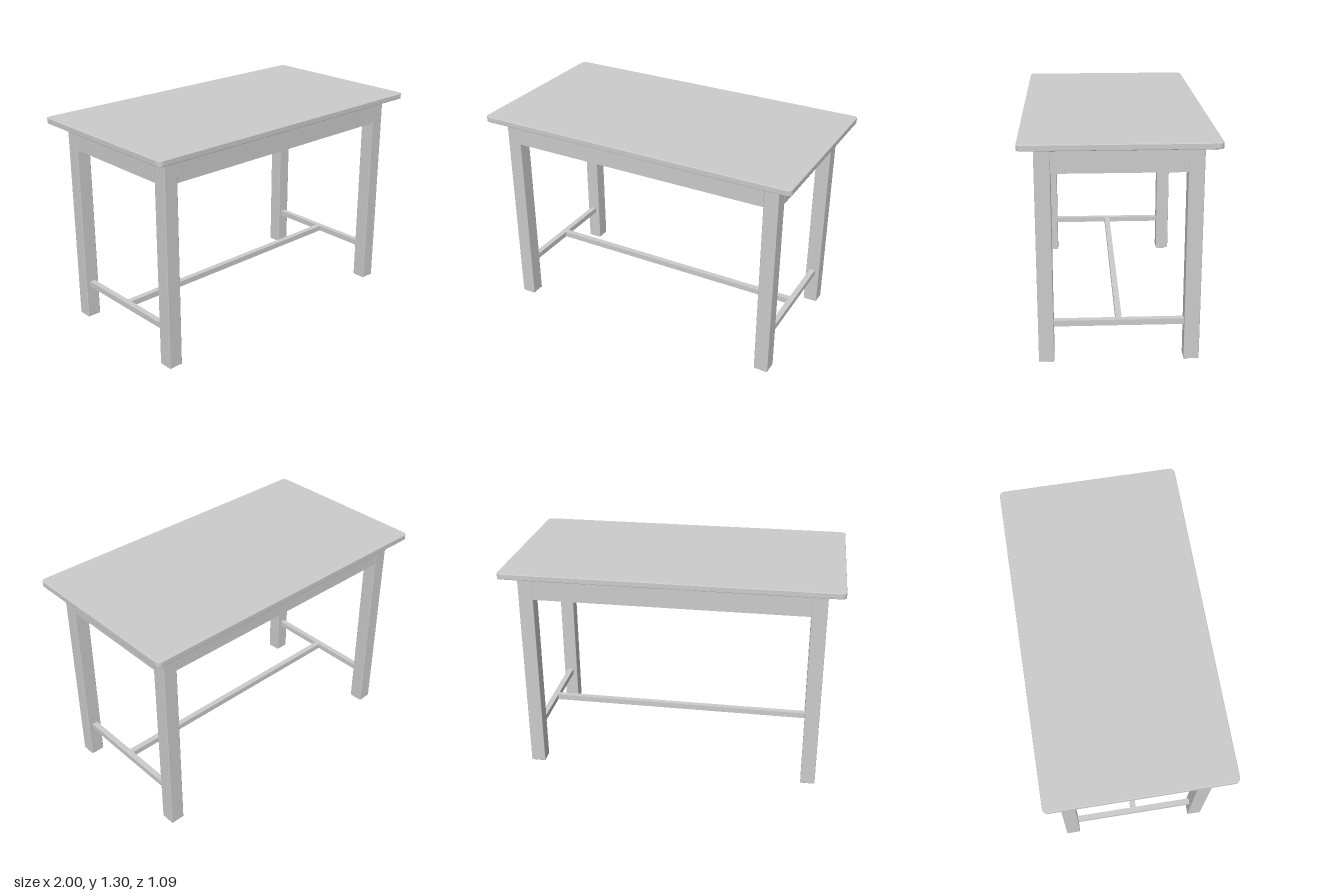
import * as THREE from 'three';
import { RoundedBoxGeometry } from 'three/addons/geometries/RoundedBoxGeometry.js';

const HEIGHT = 1.305, TOP_THICK = 0.035;
const UNDER = HEIGHT - TOP_THICK;      // underside of the table top
const LEG_X = 0.86, LEG_Z = 0.414, LEG = 0.088;
const material = new THREE.MeshStandardMaterial({ color: 0xcccccc });

export function createModel() {
  const table = new THREE.Group();
  table.name = 'table';

  const add = (name, geometry, x, y, z) => {
    const mesh = new THREE.Mesh(geometry, material);
    mesh.name = name;
    mesh.position.set(x, y, z);
    table.add(mesh);
    return mesh;
  };
  const box = (w, h, d) => new THREE.BoxGeometry(w, h, d);

  // Table top: slab with rounded corners and a fine eased edge
  const ease = 0.004, hx = 1 - ease, hz = 0.543 - ease, r = 0.025;
  const outline = new THREE.Shape();
  outline.absarc(hx - r, hz - r, r, 0, Math.PI / 2);
  outline.absarc(-hx + r, hz - r, r, Math.PI / 2, Math.PI);
  outline.absarc(-hx + r, -hz + r, r, Math.PI, Math.PI * 1.5);
  outline.absarc(hx - r, -hz + r, r, Math.PI * 1.5, Math.PI * 2);
  const slab = new THREE.ExtrudeGeometry(outline, {
    depth: TOP_THICK - 2 * ease, bevelThickness: ease, bevelSize: ease,
    bevelSegments: 2, curveSegments: 8,
  });
  slab.rotateX(-Math.PI / 2);
  add('tableTop', slab, 0, UNDER + ease, 0);

  // Four square legs with softened edges
  for (const sx of [-1, 1]) {
    for (const sz of [-1, 1]) {
      const name = (sz > 0 ? 'front' : 'back') + (sx > 0 ? 'Left' : 'Right') + 'Leg';
      add(name, new RoundedBoxGeometry(LEG, UNDER, LEG, 2, 0.004), sx * LEG_X, UNDER / 2, sz * LEG_Z);
    }
  }

  // Aprons between the legs, flush with their outer faces
  const apronH = 0.15, apronT = 0.075, apronY = UNDER - apronH / 2;
  const inset = (LEG - apronT) / 2;
  const spanX = 2 * LEG_X - LEG, spanZ = 2 * LEG_Z - LEG;
  for (const s of [-1, 1]) {
    add(s > 0 ? 'frontApron' : 'backApron', box(spanX, apronH, apronT), 0, apronY, s * (LEG_Z + inset));
    add(s > 0 ? 'leftApron' : 'rightApron', box(apronT, apronH, spanZ), s * (LEG_X + inset), apronY, 0);
  }

  // H-shaped stretcher near the floor
  const bar = 0.035, barY = 0.2255;
  for (const s of [-1, 1]) {
    add(s > 0 ? 'leftStretcher' : 'rightStretcher', box(bar, bar, spanZ), s * LEG_X, barY, 0);
  }
  add('longStretcher', box(2 * LEG_X - bar, bar, bar), 0, barY, 0);

  return table;
}
